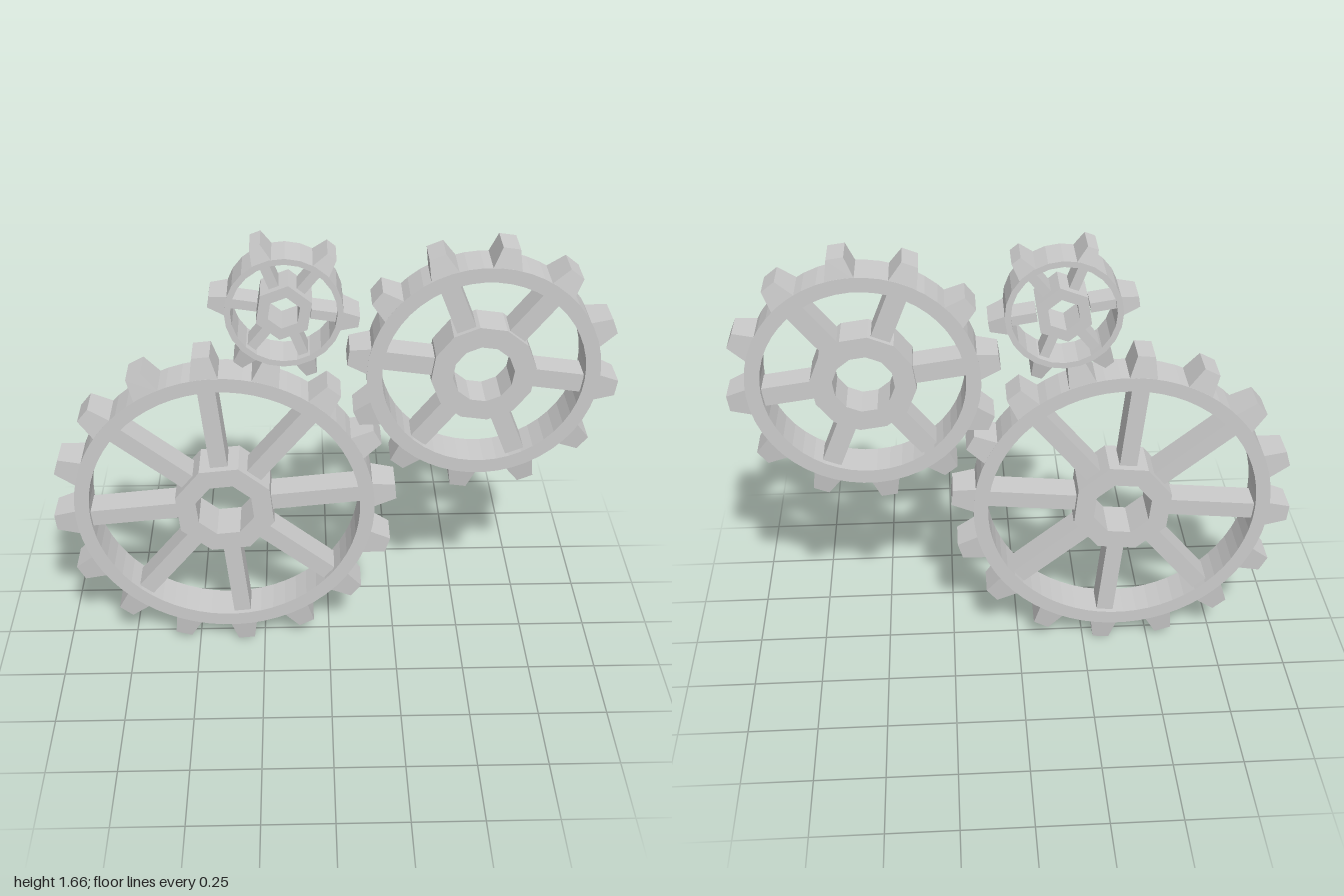
import * as THREE from 'three';

const material = new THREE.MeshStandardMaterial({ color: 0xcccccc, flatShading: true });
const HALF_DEPTH = 0.07;

function polygon(target, radius, sides, phase) {
  const points = [];
  for (let i = 0; i < sides; i++) {
    const a = phase + (i / sides) * Math.PI * 2;
    points.push(new THREE.Vector2(Math.cos(a) * radius, Math.sin(a) * radius));
  }
  return target.setFromPoints(points).closePath();
}

// Faceted ring centred on z = 0
function ring(name, outer, inner, sides, phase, halfDepth) {
  const shape = polygon(new THREE.Shape(), outer, sides, phase);
  shape.holes.push(polygon(new THREE.Path(), inner, sides, phase));
  const geometry = new THREE.ExtrudeGeometry(shape, { depth: halfDepth * 2, bevelEnabled: false });
  geometry.translate(0, 0, -halfDepth);
  const mesh = new THREE.Mesh(geometry, material);
  mesh.name = name;
  return mesh;
}

// Tooth along +x, narrowing towards its tip in both width and depth
function toothGeometry(from, to, baseWidth, tipWidth) {
  const geometry = new THREE.BoxGeometry(to - from, baseWidth, HALF_DEPTH * 2);
  const p = geometry.attributes.position;
  for (let i = 0; i < p.count; i++) {
    if (p.getX(i) > 0) {
      p.setY(i, p.getY(i) * tipWidth / baseWidth);
      p.setZ(i, p.getZ(i) * 0.82);
    }
  }
  return geometry.translate((from + to) / 2, 0, 0);
}

function radial(group, name, geometry, count) {
  for (let i = 0; i < count; i++) {
    const mesh = new THREE.Mesh(geometry, material);
    mesh.name = name;
    mesh.rotation.z = (i / count) * Math.PI * 2;
    group.add(mesh);
  }
}

function gear(g) {
  const group = new THREE.Group();
  group.name = g.name;
  group.add(ring('rim', g.rimOuter, g.rimInner, g.teeth * 4, Math.PI / (g.teeth * 4), HALF_DEPTH));
  group.add(ring('hub', g.hubOuter, g.hubInner, g.hubSides, Math.PI / g.hubSides, g.hubDepth));

  // Teeth sink slightly into the rim
  radial(group, 'tooth', toothGeometry(g.rimOuter - 0.008, g.tip, g.toothBase, g.toothTip), g.teeth);

  // Spokes run from inside the hub wall to inside the rim
  const start = g.hubOuter * 0.9;
  const end = g.rimInner + 0.006;
  const spoke = new THREE.BoxGeometry(end - start, g.spokeWidth, g.spokeDepth * 2);
  spoke.translate((start + end) / 2, 0, 0);
  radial(group, 'spoke', spoke, g.spokes);

  group.position.set(g.x, g.y, 0);
  group.rotation.z = THREE.MathUtils.degToRad(g.angle);
  return group;
}

export function createModel() {
  const model = new THREE.Group();
  model.name = 'gearTrain';
  model.add(
    gear({
      name: 'largeGear', x: -0.38, y: 0.626, angle: 5.5, teeth: 16, spokes: 8,
      tip: 0.624, rimOuter: 0.545, rimInner: 0.492, toothBase: 0.1, toothTip: 0.062,
      hubOuter: 0.186, hubInner: 0.11, hubSides: 8, hubDepth: 0.079,
      spokeWidth: 0.063, spokeDepth: 0.052,
    }),
    gear({
      name: 'mediumGear', x: 0.53, y: 1.175, angle: -8, teeth: 12, spokes: 6,
      tip: 0.47, rimOuter: 0.402, rimInner: 0.35, toothBase: 0.1, toothTip: 0.058,
      hubOuter: 0.182, hubInner: 0.107, hubSides: 12, hubDepth: 0.068,
      spokeWidth: 0.068, spokeDepth: 0.05,
    }),
    gear({
      name: 'smallGear', x: -0.152, y: 1.417, angle: -9, teeth: 6, spokes: 6,
      tip: 0.255, rimOuter: 0.2, rimInner: 0.179, toothBase: 0.07, toothTip: 0.038,
      hubOuter: 0.101, hubInner: 0.058, hubSides: 6, hubDepth: 0.065,
      spokeWidth: 0.034, spokeDepth: 0.045,
    }),
  );
  return model;
}
